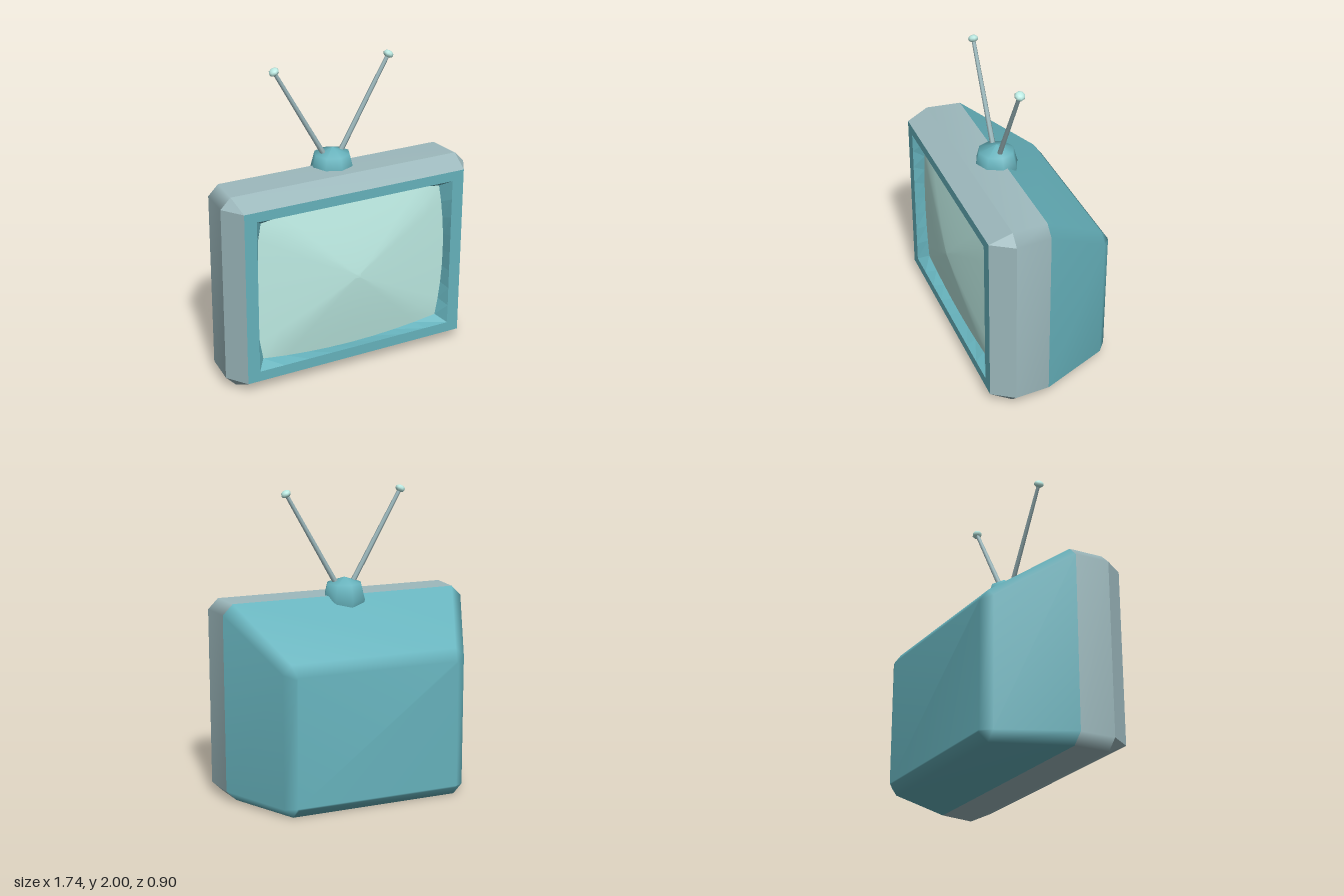
import * as THREE from 'three';

const material = (color, options = {}) => new THREE.MeshStandardMaterial({ color, ...options });

// Surface through closed loops listed front to back, counter-clockwise seen from +z
function loft(loops, { capFront = false, capBack = false, flat = false } = {}) {
  const n = loops[0].length, index = [];
  for (let r = 0; r < loops.length - 1; r++) {
    for (let i = 0; i < n; i++) {
      const a = r * n + i, b = r * n + (i + 1) % n;
      index.push(a, a + n, b + n, a, b + n, b);
    }
  }
  const last = (loops.length - 1) * n;
  for (let i = 1; i < n - 1; i++) {
    if (capFront) index.push(0, i, i + 1);
    if (capBack) index.push(last, last + i + 1, last + i);
  }
  let g = new THREE.BufferGeometry();
  g.setAttribute('position', new THREE.Float32BufferAttribute(loops.flat(2), 3));
  g.setIndex(index);
  if (flat) g = g.toNonIndexed();
  g.computeVertexNormals();
  return g;
}

// Rectangle with cut corners at depth z
function section(z, w, y0, y1, c) {
  return [
    [w, y0 + c, z], [w, y1 - c, z], [w - c, y1, z], [-w + c, y1, z],
    [-w, y1 - c, z], [-w, y0 + c, z], [-w + c, y0, z], [w - c, y0, z],
  ];
}

// Rectangle around (0, cy) whose sides bow outward by the given bulge
function barrel(z, w, h, cy, bulge, steps = 8) {
  const loop = [];
  for (let side = 0; side < 4; side++) {
    for (let i = 0; i < steps; i++) {
      const s = -1 + 2 * i / steps, b = bulge * (1 - s * s);
      const [x, y] = [
        [w + b, s * h], [-s * w, h + b], [-w - b, -s * h], [s * w, -h - b],
      ][side];
      loop.push([x, cy + y, z]);
    }
  }
  return loop;
}

export function createModel() {
  const model = new THREE.Group();
  const add = (name, geometry, mat, parent = model) => {
    const mesh = new THREE.Mesh(geometry, mat);
    mesh.name = name;
    parent.add(mesh);
    return mesh;
  };
  const teal = material(0x66b2bc);
  const tealFlat = material(0x66b2bc, { flatShading: true, side: THREE.DoubleSide });
  const grey = material(0x9db9bd);
  const greyFlat = material(0x9db9bd, { flatShading: true });
  const mint = material(0xbdebe3);

  // Casing: sloped front bevel and the band behind it
  const rim = section(0.295, 0.87, 0, 1.3, 0.068);
  const seam = section(0.065, 0.85, 0, 1.3, 0.068);
  add('frontBevel', loft([section(0.44, 0.78, 0.072, 1.235, 0), rim], { flat: true }), greyFlat);
  add('casingBand', loft([rim, seam]), grey);

  // Tapered rear housing
  add('rearHousing', loft([
    seam,
    section(-0.395, 0.63, 0, 0.985, 0.06),
    section(-0.45, 0.56, 0.06, 0.91, 0.01),
  ], { capBack: true }), teal);

  // Flat front frame with a rectangular opening
  const cy = 0.655;
  const rect = (Type, w, y0, y1) => new Type([
    new THREE.Vector2(-w, y0), new THREE.Vector2(w, y0),
    new THREE.Vector2(w, y1), new THREE.Vector2(-w, y1),
  ]);
  const frame = rect(THREE.Shape, 0.78, 0.072, 1.235);
  frame.holes.push(rect(THREE.Path, 0.697, cy - 0.515, cy + 0.515));
  add('screenFrame', new THREE.ShapeGeometry(frame).translate(0, 0, 0.44), teal);

  // Recess walls running in to the bowed screen edge
  const edgeZ = 0.37;
  add('screenRecess', loft([
    barrel(edgeZ, 0.64, 0.47, cy, 0.047),
    barrel(0.44, 0.697, 0.515, cy, 0),
  ], { flat: true }), tealFlat);

  // Bulging screen
  const rings = [0.03, 0.2, 0.4, 0.6, 0.8, 1].map((t) =>
    barrel(edgeZ + 0.08 * (1 - t ** 1.25), 0.64 * t, 0.47 * t, cy, 0.047 * t));
  add('screen', loft(rings, { capFront: true }), mint);

  // Antenna base, rods and tips
  const antenna = new THREE.Group();
  antenna.name = 'antenna';
  antenna.position.z = 0.095;
  model.add(antenna);
  const dome = [[0.115, 1.18], [0.145, 1.27], [0.118, 1.375], [0, 1.415]];
  add('antennaBase', new THREE.LatheGeometry(dome.map((p) => new THREE.Vector2(...p)), 8), teal, antenna);
  for (const [side, s] of [['left', 1], ['right', -1]]) {
    const foot = new THREE.Vector3(s * 0.05, 1.36, 0);
    const tip = new THREE.Vector3(s * 0.403, 1.973, 0);
    const axis = tip.clone().sub(foot);
    const rod = add(side + 'AntennaRod', new THREE.CylinderGeometry(0.013, 0.018, axis.length(), 6), grey, antenna);
    rod.position.copy(foot).lerp(tip, 0.5);
    rod.quaternion.setFromUnitVectors(new THREE.Vector3(0, 1, 0), axis.normalize());
    const ball = add(side + 'AntennaTip', new THREE.SphereGeometry(0.034, 8, 6), mint, antenna);
    ball.position.copy(tip);
    ball.quaternion.copy(rod.quaternion);
    ball.scale.y = 0.7;
  }
  return model;
}
